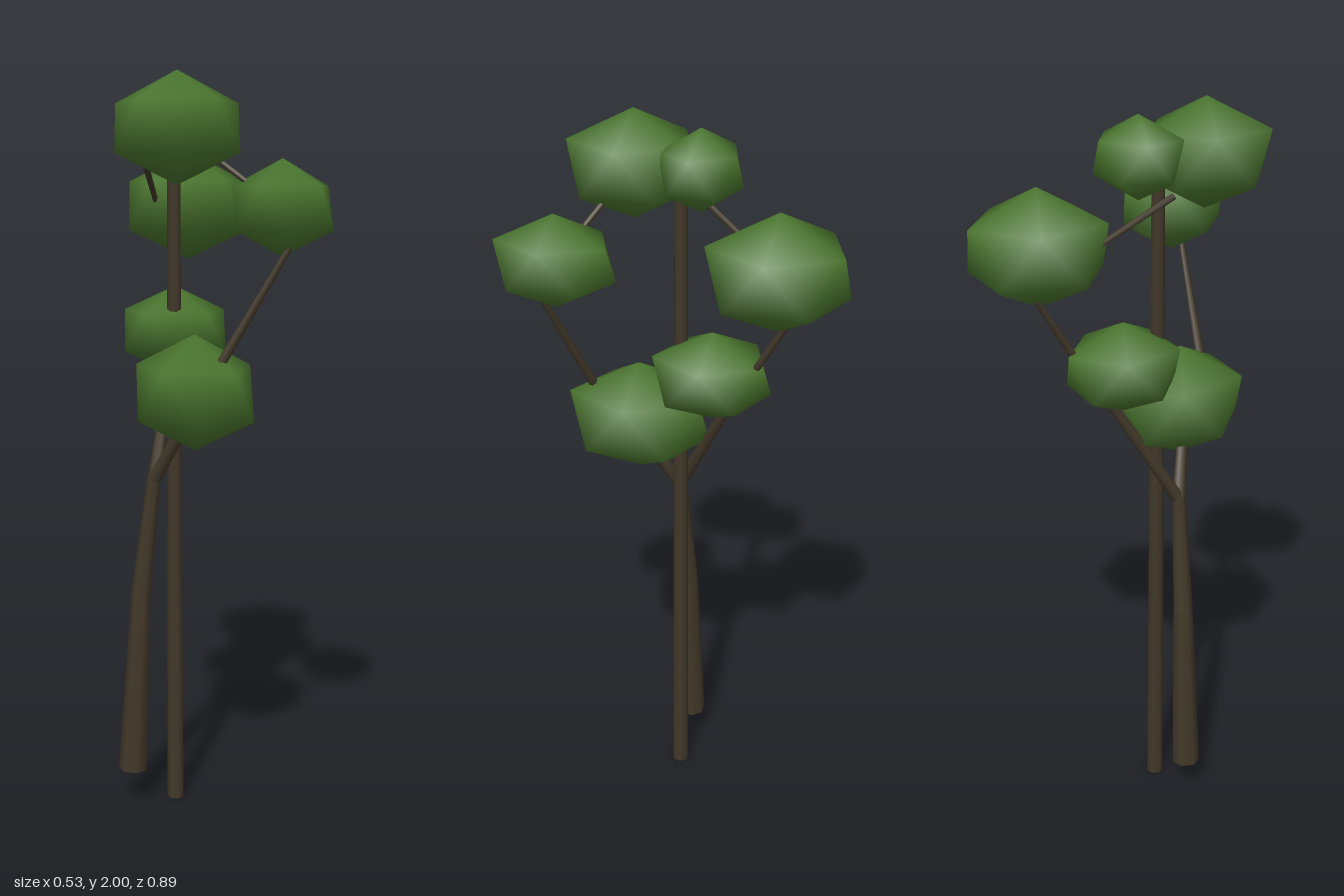
import * as THREE from 'three';

const bark = new THREE.MeshStandardMaterial({ color: 0x423829 });
bark.name = 'bark brown';
const leaf = new THREE.MeshStandardMaterial({ color: 0x4a752e });
leaf.name = 'leaf green';

// Icosahedron standing on a corner, with smooth normals
function clumpGeometry() {
  const geo = new THREE.IcosahedronGeometry(1, 0);
  geo.rotateZ(Math.atan(2 / (1 + Math.sqrt(5))));
  geo.rotateY(Math.PI);
  geo.setAttribute('normal', geo.attributes.position.clone());
  return geo;
}

// Chain of tapered cylinders through points [x, y, z, radius]
function limb(name, points) {
  const group = new THREE.Group();
  group.name = name;
  for (let i = 0; i < points.length - 1; i++) {
    const [a, b] = [points[i], points[i + 1]];
    const from = new THREE.Vector3(a[0], a[1], a[2]);
    const to = new THREE.Vector3(b[0], b[1], b[2]);
    const dir = to.clone().sub(from);
    const mesh = new THREE.Mesh(new THREE.CylinderGeometry(b[3], a[3], dir.length(), 7), bark);
    mesh.name = name + 'Segment';
    mesh.position.copy(from).add(to).multiplyScalar(0.5);
    mesh.quaternion.setFromUnitVectors(new THREE.Vector3(0, 1, 0), dir.normalize());
    group.add(mesh);
  }
  return group;
}

export function createModel() {
  const tree = new THREE.Group();
  tree.name = 'tree';

  // Straight thin trunk and thicker leaning trunk
  tree.add(limb('straightTrunk', [[-0.065, 0, 0.025, 0.024], [-0.065, 1.8, 0.022, 0.018]]));
  tree.add(limb('leaningTrunk', [
    [-0.19, 0.1, 0.025, 0.04], [-0.165, 0.6, 0.03, 0.028], [-0.13, 0.94, 0.045, 0.019],
  ]));

  // Forked branches
  tree.add(limb('frontBranch', [
    [-0.13, 0.93, 0.045, 0.019], [-0.08, 1.06, 0.11, 0.016],
    [-0.02, 1.25, 0.25, 0.013], [0.14, 1.56, 0.335, 0.008],
  ]));
  tree.add(limb('backBranch', [
    [-0.13, 0.93, 0.045, 0.018], [-0.04, 1.2, -0.1, 0.014],
    [0.02, 1.4, -0.22, 0.01], [0.05, 1.6, -0.34, 0.007],
  ]));
  tree.add(limb('upperFrontBranch', [[-0.08, 1.84, 0.17, 0.008], [0.13, 1.66, 0.29, 0.007]]));
  tree.add(limb('upperBackBranch', [[-0.14, 1.78, 0, 0.009], [-0.02, 1.63, -0.25, 0.007]]));

  // Leaf clumps: centre x, y, z and half sizes x, y, z
  const geo = clumpGeometry();
  const clumps = {
    topFront: [-0.1, 1.858, 0.16, 0.185, 0.143, 0.194],
    topCentre: [-0.05, 1.868, -0.035, 0.134, 0.107, 0.12],
    upperBack: [0.07, 1.662, -0.27, 0.198, 0.153, 0.206],
    upperFront: [0.135, 1.658, 0.295, 0.14, 0.123, 0.176],
    lowerFront: [-0.045, 1.175, 0.135, 0.175, 0.155, 0.217],
    lowerBack: [-0.033, 1.322, -0.073, 0.16, 0.123, 0.18],
  };
  for (const [name, c] of Object.entries(clumps)) {
    const mesh = new THREE.Mesh(geo, leaf);
    mesh.name = name + 'Leaves';
    mesh.position.set(c[0], c[1], c[2]);
    mesh.scale.set(c[3], c[4], c[5]);
    tree.add(mesh);
  }
  return tree;
}
